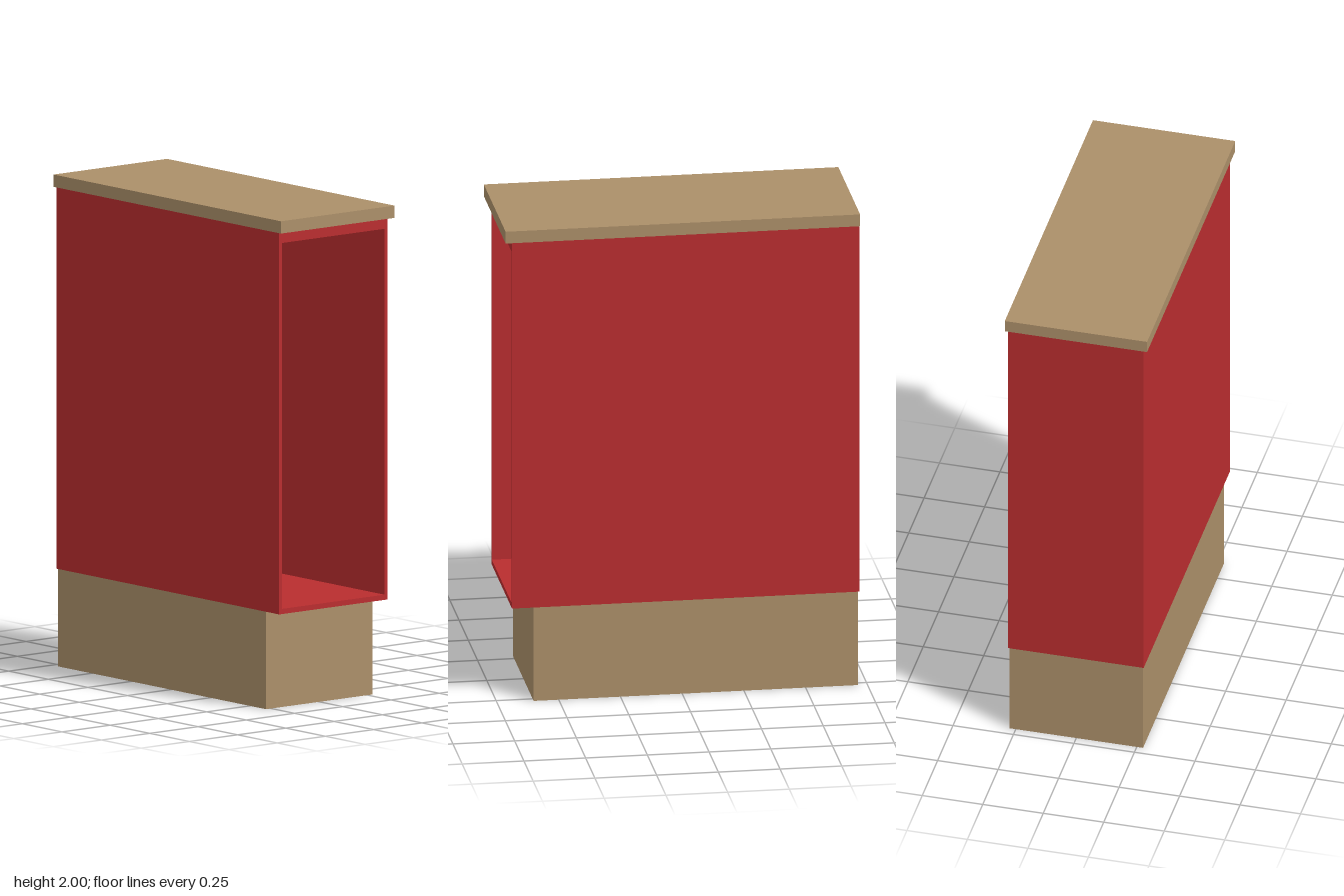
import * as THREE from 'three';

const wood = new THREE.MeshStandardMaterial({ color: 0xab8f69, side: THREE.DoubleSide });
wood.name = 'tan wood';
const red = new THREE.MeshStandardMaterial({ color: 0xb92d2f });
red.name = 'red paint';

function add(parent, name, geometry, material, x = 0, y = 0, z = 0, ry = 0) {
  const mesh = new THREE.Mesh(geometry, material);
  mesh.name = name;
  mesh.position.set(x, y, z);
  mesh.rotation.y = ry;
  parent.add(mesh);
  return mesh;
}

// Box given by its limits on each axis
function slab(parent, name, material, [x0, x1], [y0, y1], [z0, z1]) {
  return add(parent, name, new THREE.BoxGeometry(x1 - x0, y1 - y0, z1 - z0), material,
    (x0 + x1) / 2, (y0 + y1) / 2, (z0 + z1) / 2);
}

function rectangle(PathType, halfWidth, y0, y1) {
  return new PathType([
    [-halfWidth, y0], [halfWidth, y0], [halfWidth, y1], [-halfWidth, y1],
  ].map(([x, y]) => new THREE.Vector2(x, y)));
}

export function createModel() {
  const model = new THREE.Group();
  model.name = 'cabinet';

  // Overhanging worktop
  slab(model, 'worktop', wood, [-0.718, 0.718], [1.95, 2], [-0.294, 0.294]);

  // Hollow carcass, open at the +x end
  const carcass = new THREE.Group();
  carcass.name = 'carcass';
  model.add(carcass);
  const left = -0.718, right = 0.69, panel = 0.016, bottom = 0.397;
  const profile = rectangle(THREE.Shape, 0.28, bottom, 1.95);
  profile.holes.push(rectangle(THREE.Path, 0.266, 0.418, 1.905));
  const shell = new THREE.ExtrudeGeometry(profile, { depth: right - left - panel, bevelEnabled: false });
  add(carcass, 'shell', shell, red, left + panel, 0, 0, Math.PI / 2);
  slab(carcass, 'closedEnd', red, [left, left + panel], [bottom, 1.95], [-0.28, 0.28]);

  // Plinth of four thin boards, open underneath and set back at the open end
  const plinth = new THREE.Group();
  plinth.name = 'plinth';
  model.add(plinth);
  const x0 = -0.712, x1 = 0.602, halfDepth = 0.276;
  for (const side of [1, -1]) {
    add(plinth, side > 0 ? 'plinthFront' : 'plinthBack', new THREE.PlaneGeometry(x1 - x0, bottom), wood,
      (x0 + x1) / 2, bottom / 2, side * halfDepth, side > 0 ? 0 : Math.PI);
    add(plinth, side > 0 ? 'plinthLeftEnd' : 'plinthRightEnd', new THREE.PlaneGeometry(halfDepth * 2, bottom), wood,
      side > 0 ? x1 : x0, bottom / 2, 0, side * Math.PI / 2);
  }

  return model;
}
